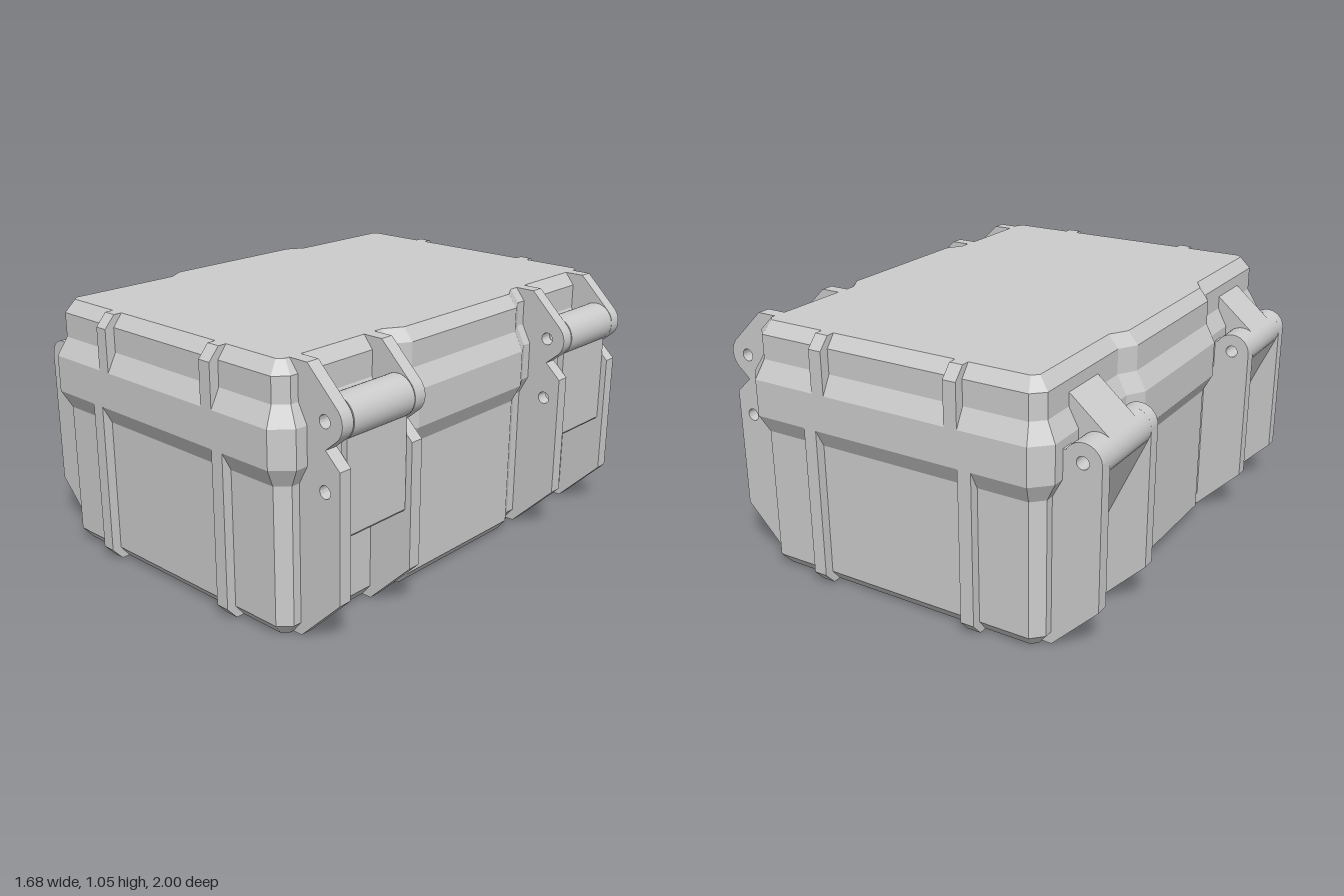
import * as THREE from 'three';
import { toCreasedNormals } from 'three/addons/utils/BufferGeometryUtils.js';

const CX = -0.008; // the shell sits slightly off centre between hinges and latches

// Shell outline moved inward by d: cut corners and a bulge in each long side
function outline(d) {
  const w = 0.68 - d, l = 1 - d, c = 0.07 - 0.586 * d;
  const q = [[w + 0.043, 0.33], [w, 0.405], [w, l - c], [w - c, l]];
  const r = [...q].reverse();
  return [
    ...q, ...r.map(([x, z]) => [-x, z]),
    ...q.map(([x, z]) => [-x, -z]), ...r.map(([x, z]) => [x, -z]),
  ];
}

// Closed faceted shell from levels [y, inset]
function shellGeometry(levels) {
  const pos = [];
  const rings = levels.map(([y, d]) => outline(d).map(([x, z]) => [x + CX, y, z]));
  const n = rings[0].length;
  const tri = (a, b, c) => pos.push(...a, ...b, ...c);
  for (let k = 0; k < n; k++) {
    const m = (k + 1) % n;
    for (let i = 0; i < rings.length - 1; i++) {
      const a = rings[i], b = rings[i + 1];
      tri(a[k], b[k], b[m]);
      tri(a[k], b[m], a[m]);
    }
    const bottom = rings[0], top = rings[rings.length - 1];
    tri([CX, bottom[0][1], 0], bottom[k], bottom[m]);
    tri([CX, top[0][1], 0], top[m], top[k]);
  }
  const g = new THREE.BufferGeometry();
  g.setAttribute('position', new THREE.Float32BufferAttribute(pos, 3));
  g.computeVertexNormals();
  return g;
}

const polygon = (pts) => new THREE.Shape(pts.map(([x, y]) => new THREE.Vector2(x, y)));

function drill(shape, x, y, r = 0.025) {
  shape.holes.push(new THREE.Path().absarc(x, y, r, 0, Math.PI * 2, true));
  return shape;
}

function ring(x, y, r) {
  return drill(new THREE.Shape().absarc(x, y, r, 0, Math.PI * 2, false), x, y);
}

export function createModel() {
  const model = new THREE.Group();
  const material = new THREE.MeshStandardMaterial({ color: 0xcccccc });

  const add = (name, geometry) => {
    const mesh = new THREE.Mesh(geometry, material);
    mesh.name = name;
    model.add(mesh);
    return mesh;
  };
  const extrude = (shape, depth) => toCreasedNormals(
    new THREE.ExtrudeGeometry(shape, { depth, bevelEnabled: false, curveSegments: 24 }), 0.5);
  // xy section spanning z0 to z1
  const slab = (name, shape, z0, z1) => add(name, extrude(shape, z1 - z0).translate(0, 0, z0));

  // Shell
  add('base', shellGeometry([[0, 0.08], [0.05, 0.04], [0.6, 0.04], [0.675, 0], [0.75, 0]]));
  add('lid', shellGeometry([[0.75, 0], [0.825, 0], [0.9, 0.04], [1.0, 0.04], [1.05, 0.08]]));

  // Ribs on the two short ends
  const baseRib = [[0.9, 0], [0.955, 0], [1, 0.05], [1, 0.69], [0.9, 0.69]];
  const lidRib = [[0.9, 0.82], [1, 0.82], [1, 1.0], [0.955, 1.05], [0.9, 1.05]];
  const endRib = (name, pts, x0, x1, s) => {
    const g = extrude(polygon(pts.map(([z, y]) => [z * s, y])), x1 - x0);
    add(name, g.rotateY(-Math.PI / 2).translate(x1, 0, 0));
  };
  for (const s of [1, -1]) {
    endRib('baseEndRib', baseRib, -0.39, -0.333, s);
    endRib('baseEndRib', baseRib, 0.313, 0.37, s);
    endRib('lidEndRib', lidRib, -0.335, -0.28, s);
    endRib('lidEndRib', lidRib, 0.263, 0.32, s);
  }

  // Latch plates on the base, drilled for a pin
  const latchPlate = drill(polygon([
    [0.56, 0], [0.635, 0], [0.825, 0.19], [0.825, 0.695], [0.755, 0.76], [0.56, 0.76],
  ]), 0.755, 0.603);

  // Latch ears on the lid, rounded around the pivot
  const latchEar = new THREE.Shape();
  latchEar.moveTo(0.56, 0.755);
  latchEar.lineTo(0.755, 0.755);
  latchEar.absarc(0.755, 0.86, 0.08, -Math.PI / 4, Math.PI / 4, false);
  latchEar.lineTo(0.675, 1.05);
  latchEar.lineTo(0.56, 1.05);
  latchEar.closePath();
  drill(latchEar, 0.755, 0.86);

  // Hinge plates on the base, rounded around the hinge pin
  const hx = -0.765, hy = 0.755, hr = 0.075;
  const hingePlate = new THREE.Shape();
  hingePlate.moveTo(-0.58, 0);
  hingePlate.lineTo(-0.58, 0.8);
  hingePlate.lineTo(-0.7, 0.79);
  hingePlate.absarc(hx, hy, hr, 0.5, Math.PI, false);
  hingePlate.lineTo(-0.84, 0.19);
  hingePlate.lineTo(-0.65, 0);
  hingePlate.closePath();
  drill(hingePlate, hx, hy);

  // Sloped web that carries the hinge barrel
  const hingeWeb = polygon([[-0.64, 0.3], [-0.64, 0.72], [-0.74, 0.69], [-0.83, 0.715]]);
  // Arm from the lid that meets the hinge barrel at a tangent
  const hingeArm = polygon([
    [-0.815, 0.811], [-0.645, 0.955], [-0.6, 0.955], [-0.6, 0.78], [-0.7, 0.78], [-0.765, 0.785],
  ]);
  const latchFlap = polygon([
    [0.775, 0.42], [0.795, 0.42], [0.802, 0.43], [0.802, 0.81], [0.775, 0.81],
  ]);

  for (const s of [1, -1]) {
    const span = (name, shape, a, b) => slab(name, shape, Math.min(a * s, b * s), Math.max(a * s, b * s));
    for (const [a, b] of [[0.447, 0.502], [0.823, 0.878]]) {
      span('latchPlate', latchPlate, a, b);
      span('latchEar', latchEar, a, b);
      span('hingePlate', hingePlate, a, b);
    }
    span('latchBarrel', ring(0.755, 0.86, 0.081), 0.506, 0.819);
    span('latchFlap', latchFlap, 0.506, 0.819);
    span('hingeBarrel', ring(hx, hy, hr), 0.502, 0.823);
    span('hingeWeb', hingeWeb, 0.502, 0.823);
    span('hingeArm', hingeArm, 0.56, 0.77);
  }
  return model;
}
